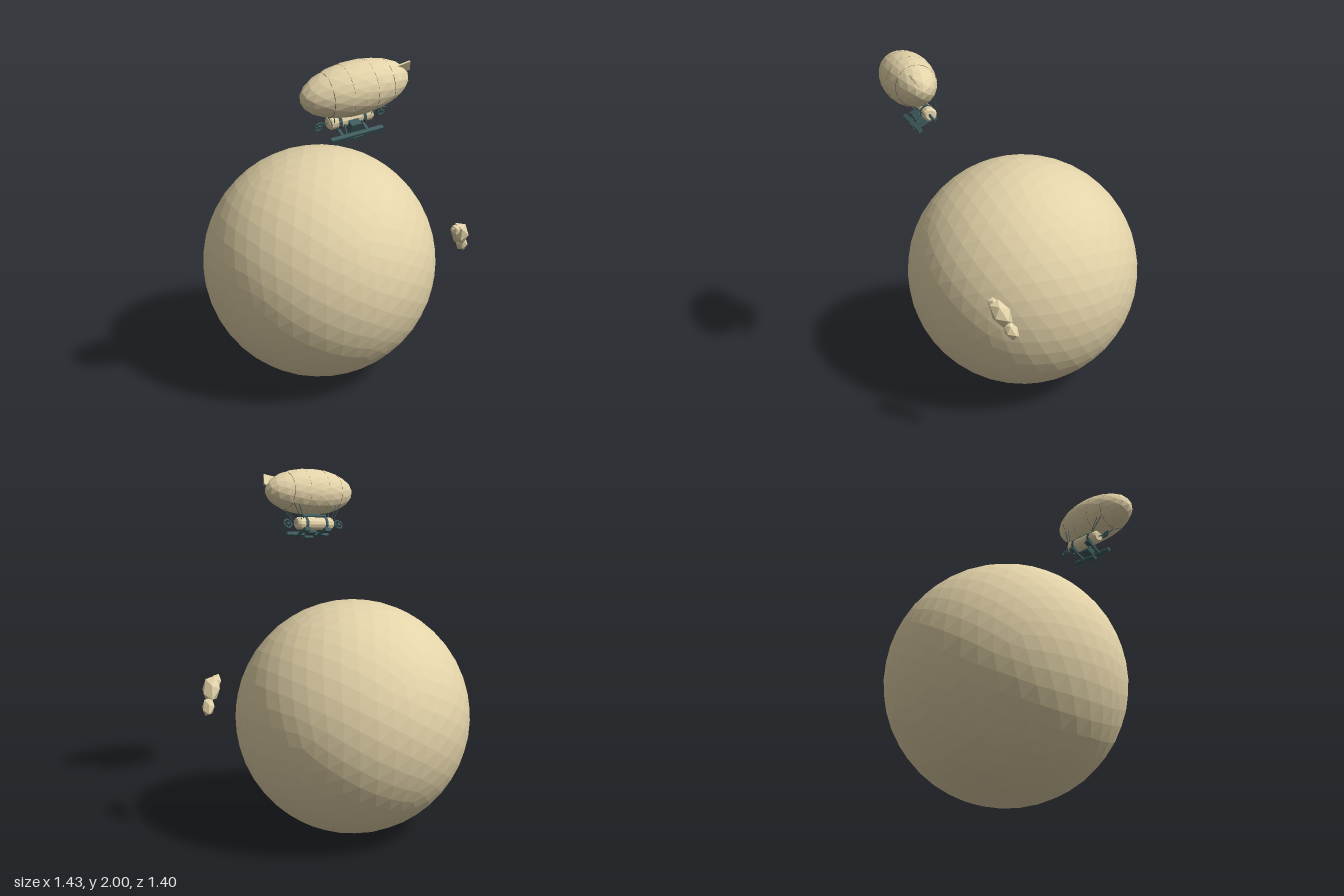
import * as THREE from 'three';

const mat = (name, color) =>
  Object.assign(new THREE.MeshStandardMaterial({ color, flatShading: true }), { name });

export function createModel() {
  const sand = mat('sand', 0xe3d3a9);
  const iron = mat('dark teal iron', 0x3f5c5f);
  const seamBrown = mat('seam brown', 0x6a5f48);

  const model = new THREE.Group();
  model.name = 'airshipOverPlanet';

  const add = (parent, name, geo, material, x = 0, y = 0, z = 0) => {
    const m = new THREE.Mesh(geo, material);
    m.name = name;
    m.position.set(x, y, z);
    parent.add(m);
    return m;
  };
  const box = (parent, name, size, pos) =>
    add(parent, name, new THREE.BoxGeometry(...size), iron, ...pos);
  // Thin round bar between two points
  const rod = (parent, name, a, b, r, sides = 5) => {
    const p = new THREE.Vector3(...a), q = new THREE.Vector3(...b);
    const d = q.clone().sub(p);
    const m = add(parent, name, new THREE.CylinderGeometry(r, r, d.length(), sides), iron);
    m.position.copy(p).add(q).multiplyScalar(0.5);
    m.quaternion.setFromUnitVectors(new THREE.Vector3(0, 1, 0), d.normalize());
  };

  // Planet
  const centre = new THREE.Vector3(-0.053, 0.661, -0.037);
  add(model, 'planet', new THREE.IcosahedronGeometry(0.66, 7), sand, ...centre.toArray());

  // Drifting rocks, stretched along one shared axis
  const rocks = new THREE.Group();
  rocks.name = 'rocks';
  model.add(rocks);
  const axis = new THREE.Vector3(0.05, -0.11, -0.055).normalize();
  [
    [0.638, 0.84, 0.348, 0.053, 0.084],
    [0.68, 0.753, 0.308, 0.037, 0.058],
    [0.593, 0.873, 0.37, 0.03, 0.045],
  ].forEach(([x, y, z, w, l], i) => {
    const rock = add(rocks, 'rock' + (i + 1), new THREE.IcosahedronGeometry(1, 0), sand, x, y, z);
    rock.scale.set(w, l, w);
    rock.quaternion.setFromUnitVectors(new THREE.Vector3(0, 1, 0), axis);
  });

  // Airship: its own up direction points away from the planet
  const ship = new THREE.Group();
  ship.name = 'airship';
  ship.position.set(-0.163, 1.866, 0.566);
  const up = ship.position.clone().sub(centre).normalize();
  const along = new THREE.Vector3(up.y, -up.x, 0).normalize();
  const side = along.clone().cross(up);
  ship.quaternion.setFromRotationMatrix(new THREE.Matrix4().makeBasis(along, up, side));
  model.add(ship);

  // Balloon, with seams that dip in and out of its facets
  const A = 0.294, B = 0.135;
  const hull = new THREE.IcosahedronGeometry(1, 3);
  hull.scale(A, B, B);
  add(ship, 'balloon', hull, sand);
  [-0.163, -0.064, 0.066, 0.166].forEach((x) => {
    const r = B * Math.sqrt(1 - (x / A) ** 2) - 0.0026;
    add(ship, 'seam', new THREE.TorusGeometry(r, 0.0018, 4, 40), seamBrown, x).rotation.y = Math.PI / 2;
  });

  // Tail fin
  const finShape = new THREE.Shape(
    [[0.18, 0.06], [0.2, 0.085], [0.287, 0.102], [0.3, 0.036], [0.25, 0.03]]
      .map(([x, y]) => new THREE.Vector2(x, y)));
  const fin = add(ship, 'tailFin',
    new THREE.ExtrudeGeometry(finShape, { depth: 0.008, bevelEnabled: false }), sand, 0, 0, -0.004);
  fin.rotation.x = 0.1;

  // Gondola: barrel with end caps, roof, engine and front beam
  const gondola = new THREE.Group();
  gondola.name = 'gondola';
  ship.add(gondola);
  const barrel = new THREE.LatheGeometry(
    [[0, -0.125], [0.026, -0.125], [0.037, -0.112], [0.037, 0.112], [0.026, 0.125], [0, 0.125]]
      .map(([r, y]) => new THREE.Vector2(r, y)), 12);
  add(gondola, 'barrel', barrel, sand, 0, -0.194, 0.01).rotation.z = Math.PI / 2;
  box(gondola, 'roof', [0.16, 0.014, 0.022], [0, -0.151, 0]);
  box(gondola, 'engine', [0.055, 0.065, 0.045], [0, -0.208, 0.06]);
  box(gondola, 'frontBeam', [0.29, 0.02, 0.022], [0, -0.226, 0.1]);
  box(gondola, 'engineFoot', [0.06, 0.024, 0.03], [0, -0.24, 0.1]);

  for (const s of [-1, 1]) {
    // Hoops, ballast pads and struts
    const hoop = add(gondola, 'hoop', new THREE.CylinderGeometry(0.041, 0.041, 0.016, 12), iron,
      s * 0.068, -0.194, 0.01);
    hoop.rotation.z = Math.PI / 2;
    box(gondola, 'ballastPad', [0.036, 0.022, 0.035], [s * 0.07, -0.237, 0]);
    box(gondola, 'crossArm', [0.014, 0.012, 0.09], [s * 0.07, -0.234, 0.055]);
    rod(gondola, 'strut', [s * 0.045, -0.19, 0.035], [s * 0.055, -0.222, 0.1], 0.005);

    // Spoked wheel on an outrigger
    const wheel = new THREE.Group();
    wheel.name = 'propellerWheel';
    wheel.position.set(s * 0.177, -0.194, 0.018);
    gondola.add(wheel);
    add(wheel, 'rim', new THREE.TorusGeometry(0.025, 0.005, 5, 14), iron);
    add(wheel, 'hub', new THREE.CylinderGeometry(0.008, 0.008, 0.016, 8), iron).rotation.x = Math.PI / 2;
    for (let i = 0; i < 3; i++) {
      const a = (i * Math.PI) / 3, c = 0.025 * Math.cos(a), n = 0.025 * Math.sin(a);
      rod(wheel, 'spoke', [-c, -n, 0], [c, n, 0], 0.0025, 4);
    }
    rod(gondola, 'outrigger', [s * 0.12, -0.194, 0.01], [s * 0.177, -0.194, 0.018], 0.003);

    // Suspension ropes
    for (const t of [-1, 1]) {
      rod(gondola, 'rope', [s * 0.165, -0.085, t * 0.06], [s * 0.112, -0.187, t * 0.035], 0.0024, 4);
      rod(gondola, 'rope', [s * 0.13, -0.097, t * 0.062], [s * 0.098, -0.182, t * 0.035], 0.0024, 4);
    }
  }
  return model;
}
